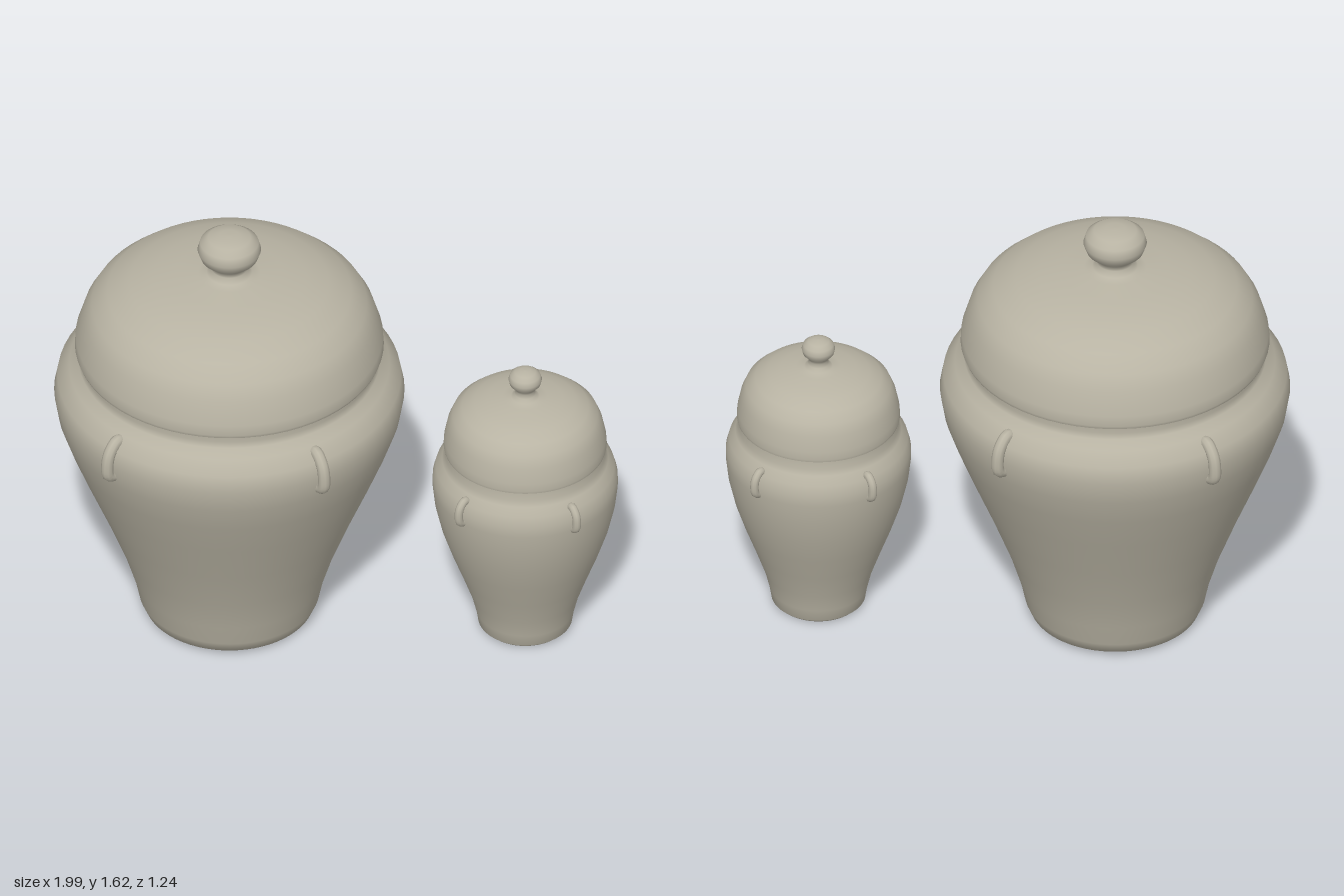
import * as THREE from 'three';

const clay = new THREE.MeshStandardMaterial({ color: 0xb8b3a3 });
clay.name = 'clay';

// Angle of the lugs, measured from the x axis
const LUG_ANGLE = THREE.MathUtils.degToRad(52.7);

function addLathe(group, name, profile) {
  const points = profile.map(([r, y]) => new THREE.Vector2(r, y));
  const mesh = new THREE.Mesh(new THREE.LatheGeometry(points, 64), clay);
  mesh.name = name;
  group.add(mesh);
}

// Small curved lug on the shoulder, given as a path of [radius, height]
function addLugs(group, path, thickness) {
  const curve = new THREE.CatmullRomCurve3(path.map(([r, y]) => new THREE.Vector3(r, y, 0)));
  const geometry = new THREE.TubeGeometry(curve, 20, thickness, 10, false);
  const angles = [LUG_ANGLE, Math.PI - LUG_ANGLE, Math.PI + LUG_ANGLE, -LUG_ANGLE];
  angles.forEach((angle, i) => {
    const lug = new THREE.Mesh(geometry, clay);
    lug.name = 'lug' + (i + 1);
    lug.rotation.y = angle;
    group.add(lug);
  });
}

function makeJar(name, x, { body, lid, lug, thickness }) {
  const jar = new THREE.Group();
  jar.name = name;
  jar.position.x = x;
  addLathe(jar, 'body', body);
  // Flat ledge under the overhanging lid, kept separate for a sharp rim
  const [rimR, rimY] = lid[0];
  addLathe(jar, 'lidUnderside', [[rimR * 0.85, rimY], [rimR, rimY]]);
  addLathe(jar, 'lidAndKnob', lid);
  addLugs(jar, lug, thickness);
  return jar;
}

export function createModel() {
  const model = new THREE.Group();
  model.name = 'lidded jars';

  model.add(makeJar('largeJar', -0.38, {
    body: [
      [0, 0.004], [0.15, 0.002], [0.255, 0], [0.3, 0.018], [0.318, 0.06], [0.335, 0.14],
      [0.375, 0.27], [0.44, 0.44], [0.51, 0.61], [0.565, 0.75], [0.603, 0.86],
      [0.618, 0.95], [0.606, 1.013], [0.565, 1.06], [0.533, 1.088], [0.527, 1.11], [0.53, 1.145],
    ],
    lid: [
      [0.54, 1.137], [0.545, 1.15], [0.542, 1.19], [0.516, 1.275], [0.485, 1.33], [0.43, 1.38],
      [0.35, 1.418], [0.27, 1.438], [0.19, 1.452], [0.11, 1.459], [0.08, 1.466],
      [0.064, 1.485], [0.068, 1.505], [0.1, 1.532], [0.112, 1.565], [0.103, 1.597],
      [0.075, 1.617], [0.035, 1.624], [0, 1.625],
    ],
    lug: [[0.55, 1.03], [0.585, 1.04], [0.622, 1.005], [0.634, 0.955], [0.628, 0.915], [0.59, 0.895]],
    thickness: 0.022,
  }));

  model.add(makeJar('smallJar', 0.668, {
    body: [
      [0, 0.003], [0.09, 0.002], [0.15, 0], [0.166, 0.015], [0.173, 0.06], [0.19, 0.13],
      [0.225, 0.23], [0.262, 0.33], [0.295, 0.43], [0.318, 0.53], [0.327, 0.61],
      [0.326, 0.65], [0.315, 0.69], [0.293, 0.72], [0.282, 0.74], [0.28, 0.78],
    ],
    lid: [
      [0.286, 0.775], [0.288, 0.785], [0.286, 0.815], [0.274, 0.872], [0.256, 0.915],
      [0.223, 0.945], [0.18, 0.967], [0.133, 0.98], [0.08, 0.989], [0.05, 0.993],
      [0.037, 1.005], [0.034, 1.02], [0.04, 1.033], [0.055, 1.05], [0.059, 1.068],
      [0.053, 1.086], [0.037, 1.099], [0.018, 1.104], [0, 1.105],
    ],
    lug: [[0.295, 0.69], [0.315, 0.702], [0.338, 0.683], [0.345, 0.655], [0.34, 0.624], [0.315, 0.608]],
    thickness: 0.015,
  }));

  return model;
}
